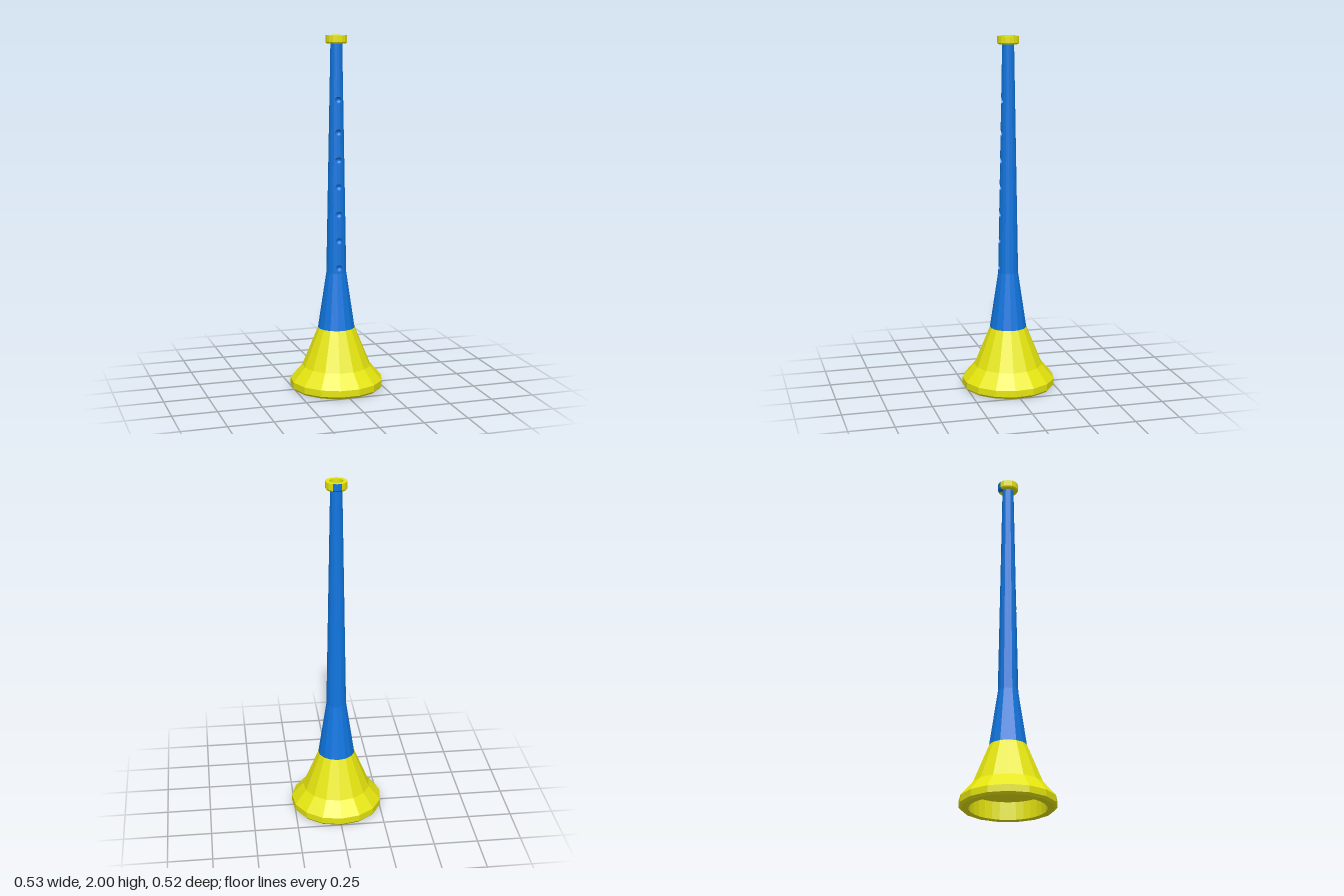
import * as THREE from 'three';

const yellow = new THREE.MeshStandardMaterial({ color: 0xe6e610 });
yellow.name = 'yellow';
const blue = new THREE.MeshStandardMaterial({ color: 0x1076e0 });
blue.name = 'blue';

const SIDES = 15;
const deg = THREE.MathUtils.degToRad;
const V = (x, y) => new THREE.Vector2(x, y);

// faceted normals
function facet(geo) {
  const g = geo.index ? geo.toNonIndexed() : geo;
  g.computeVertexNormals();
  return g;
}

function part(name, geo, material) {
  const mesh = new THREE.Mesh(facet(geo), material);
  mesh.name = name;
  return mesh;
}

// turned shape; a flat side faces the front
function turned(profile, segments = SIDES, start = 12, sweep = 360) {
  return new THREE.LatheGeometry(profile.map(p => V(...p)), segments, deg(start), deg(sweep));
}

// flat rim: many-sided outside, round inside, facing up (1) or down (-1)
function rim(outer, inner, y, facing) {
  const ring = (r, n) => Array.from({ length: n }, (_, i) => {
    const a = deg(12) + (i / n) * Math.PI * 2;
    return V(r * Math.sin(a), -facing * r * Math.cos(a));
  });
  const shape = new THREE.Shape(ring(outer, SIDES));
  shape.holes.push(new THREE.Path(ring(inner, 30)));
  return new THREE.ShapeGeometry(shape).rotateX(-facing * Math.PI / 2).translate(0, y, 0);
}

// the long tapering pipe
const Y0 = 0.67, Y1 = 1.96, R0 = 0.057, R1 = 0.033;
const HOLE = 0.019;
const holeHeights = [0.7, 0.855, 1.005, 1.16, 1.31, 1.465, 1.645];
const radius = y => R0 + (R1 - R0) * (y - Y0) / (Y1 - Y0);
const S1 = Math.sin(deg(12)), C1 = Math.cos(deg(12));
const S2 = Math.sin(deg(36)), C2 = Math.cos(deg(36));

// point on the three front faces of the pipe
function onFront(x, y, depth = 0) {
  const r = radius(y), u = Math.abs(x) / r;
  const t = Math.max(0, (u - S1) / (S2 - S1));
  return [x, y, r * (C1 + (C2 - C1) * t) - depth];
}

function fromTriangles(list) {
  const g = new THREE.BufferGeometry();
  g.setAttribute('position', new THREE.Float32BufferAttribute(list.flat(), 3));
  return g;
}

// front faces, built in rows that open around each finger hole
function pipeFront() {
  const rows = [{ y: Y0, w: 0 }];
  for (const h of holeHeights) {
    for (let i = 0; i <= 12; i++) {
      const a = (i / 12) * Math.PI;
      rows.push({ y: h - HOLE * Math.cos(a), w: i % 12 ? HOLE * Math.sin(a) : 0 });
    }
  }
  rows.push({ y: Y1, w: 0 });
  const columns = ({ y, w }) => [w, Math.max(w, radius(y) * S1), Math.max(w, radius(y) * S2)];
  const tris = [];
  for (let i = 0; i + 1 < rows.length; i++) {
    const lo = columns(rows[i]), hi = columns(rows[i + 1]);
    for (const side of [1, -1]) {
      for (let k = 0; k < 2; k++) {
        if (lo[k + 1] - lo[k] + hi[k + 1] - hi[k] < 1e-6) continue;
        const a = onFront(side * lo[k], rows[i].y), b = onFront(side * lo[k + 1], rows[i].y);
        const c = onFront(side * hi[k + 1], rows[i + 1].y), d = onFront(side * hi[k], rows[i + 1].y);
        tris.push(...(side > 0 ? [a, b, c, a, c, d] : [a, c, b, a, d, c]));
      }
    }
  }
  return fromTriangles(tris);
}

// rounded hollow of one finger hole
function hollow(h) {
  const n = 24, rings = [0, 0.4, 0.7, 0.9, 1];
  const at = (k, i) => {
    const a = (i / n) * Math.PI * 2, q = rings[k] * HOLE;
    return onFront(q * Math.cos(a), h + q * Math.sin(a), HOLE * Math.sqrt(1 - rings[k] ** 2));
  };
  const tris = [];
  for (let k = 0; k < rings.length - 1; k++) {
    for (let i = 0; i < n; i++) {
      const a = at(k, i), b = at(k + 1, i), c = at(k + 1, i + 1), d = at(k, i + 1);
      tris.push(a, b, c);
      if (k > 0) tris.push(a, c, d);
    }
  }
  return fromTriangles(tris);
}

export function createModel() {
  const horn = new THREE.Group();
  horn.name = 'horn';

  // bell: flared shell, bottom rim and recess
  horn.add(part('bell', turned([[0.252, 0], [0.264, 0.013], [0.264, 0.05], [0.195, 0.13], [0.105, 0.35]]), yellow));
  horn.add(part('bellRim', rim(0.252, 0.21, 0, -1), yellow));
  horn.add(part('bellRecess', turned([[0, 0.1], [0.21, 0.1], [0.21, 0]], 30), yellow));

  // flare between bell and pipe
  horn.add(part('flare', turned([[0.105, 0.35], [R0, Y0]]), blue));

  // pipe: back faces, then front faces with finger holes
  horn.add(part('pipeBack', turned([[R0, Y0], [R1, Y1]], 12, 36, 288), blue));
  horn.add(part('pipeFront', pipeFront(), blue));
  for (const h of holeHeights) horn.add(part('fingerHole', hollow(h), blue));

  // mouthpiece: collar with a blue patch at the back, rim and cup
  const collar = [[0.03, 1.955], [0.055, 1.955], [0.06, 1.963], [0.06, 2]];
  horn.add(part('mouthpiece', turned(collar, 13, 204, 312), yellow));
  horn.add(part('mouthpiecePatch', turned(collar, 2, 156, 48), blue));
  horn.add(part('mouthpieceRim', rim(0.06, 0.037, 2, 1), yellow));
  horn.add(part('mouthpieceCup', turned([[0.037, 2], [0.037, 1.97], [0, 1.97]], 30), yellow));

  // centre the odd-sided outline front to back
  horn.children.forEach(m => { m.position.z = 0.003; });
  return horn;
}
